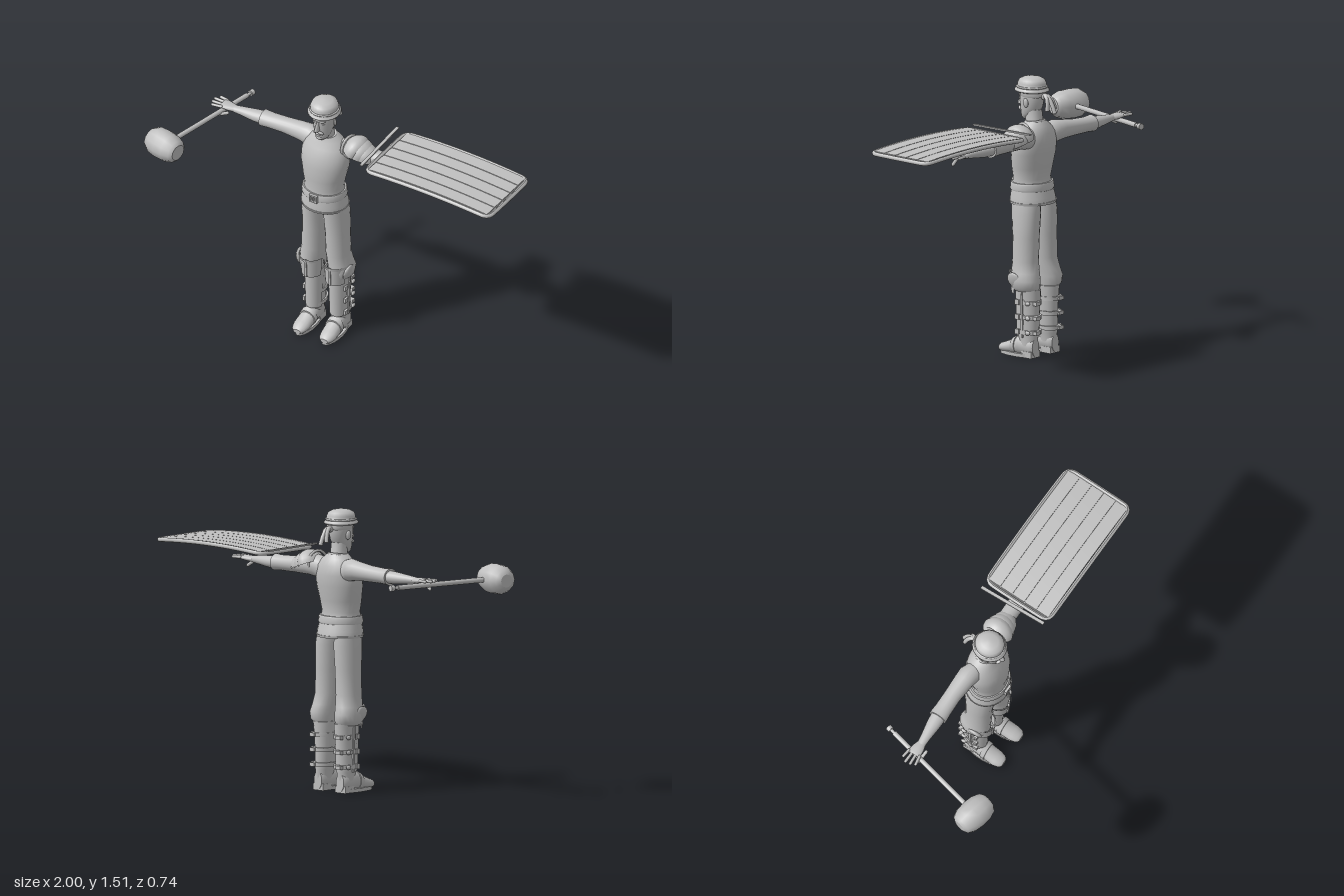
import * as THREE from 'three';

const grey = new THREE.MeshStandardMaterial({ color: 0xc0c0c0, side: THREE.DoubleSide });
grey.name = 'plain grey';

function add(parent, name, geo, pos = [0, 0, 0], rot = [0, 0, 0], scale = [1, 1, 1]) {
  const m = new THREE.Mesh(geo, grey);
  m.name = name;
  m.position.set(...pos);
  m.rotation.set(...rot);
  m.scale.set(...scale);
  parent.add(m);
  return m;
}
const box = (w, h, d, n = 1) => new THREE.BoxGeometry(w, h, d, n, 1, 1);
const ball = (w = 16, h = 10) => new THREE.SphereGeometry(1, w, h);

// Elliptical cross-sections [t, a, b, ra, rb] joined along an axis:
// y: (a,b) = (x,z)   x: (a,b) = (z,y)   z: (a,b) = (y,x)
function loft(axis, rows, seg = 20) {
  const pos = [], idx = [];
  const put = (t, a, b) => pos.push(...(axis === 'y' ? [a, t, b] : axis === 'x' ? [t, b, a] : [b, a, t]));
  const ring = ([t, a, b, ra, rb]) => {
    for (let j = 0; j < seg; j++) {
      const q = j / seg * Math.PI * 2;
      put(t, a + ra * Math.sin(q), b + rb * Math.cos(q));
    }
  };
  rows.forEach(ring);
  for (let i = 0; i < rows.length - 1; i++) for (let j = 0; j < seg; j++) {
    const a = i * seg + j, b = i * seg + (j + 1) % seg;
    idx.push(a, b, b + seg, a, b + seg, a + seg);
  }
  for (const end of [0, rows.length - 1]) {
    const s = pos.length / 3;
    ring(rows[end]);
    put(rows[end][0], rows[end][1], rows[end][2]);
    for (let j = 0; j < seg; j++) {
      const k = s + (j + 1) % seg;
      idx.push(s + seg, ...(end ? [s + j, k] : [k, s + j]));
    }
  }
  const g = new THREE.BufferGeometry();
  g.setAttribute('position', new THREE.Float32BufferAttribute(pos, 3));
  g.setIndex(idx);
  g.computeVertexNormals();
  return g;
}

// Move vertices by a rule
function shape(geo, rule) {
  const p = geo.attributes.position, v = new THREE.Vector3();
  for (let i = 0; i < p.count; i++) {
    rule(v.fromBufferAttribute(p, i));
    p.setXYZ(i, v.x, v.y, v.z);
  }
  geo.computeVertexNormals();
  return geo;
}

// Copy a limb to the other side with correct winding
function mirror(limb, name) {
  const out = new THREE.Group();
  out.name = name;
  for (const m of limb.children) {
    m.updateMatrix();
    const g = m.geometry.clone().applyMatrix4(m.matrix).scale(-1, 1, 1), ix = g.index.array;
    for (let i = 0; i < ix.length; i += 3) [ix[i], ix[i + 1]] = [ix[i + 1], ix[i]];
    add(out, m.name, g);
  }
  return out;
}

function makeLeg() {
  const g = new THREE.Group();
  g.name = 'leftLeg';
  add(g, 'trouserLeg', loft('y', [[.36, .08, -.14, .054, .073], [.38, .087, -.142, .066, .085], [.42, .09, -.142, .07, .088],
    [.46, .083, -.137, .068, .08], [.52, .075, -.13, .066, .074], [.65, .071, -.13, .066, .076], [.78, .066, -.127, .068, .086], [.87, .06, -.12, .06, .085]]));
  add(g, 'bootShaft', loft('y', [[.06, .08, -.155, .042, .05], [.11, .077, -.152, .044, .058], [.13, .076, -.15, .05, .064],
    [.22, .074, -.148, .05, .066], [.32, .074, -.148, .055, .073], [.37, .076, -.148, .058, .076]]));
  add(g, 'bootFoot', loft('z', [[-.205, .055, .08, .048, .028], [-.185, .058, .08, .054, .04], [-.11, .062, .08, .055, .045], [-.06, .048, .082, .04, .046],
    [-.01, .037, .084, .029, .046], [.02, .032, .084, .023, .038], [.035, .027, .084, .013, .022]], 16));
  add(g, 'sole', loft('y', [[0, .082, -.085, .046, .118], [.02, .082, -.085, .047, .12]]));
  add(g, 'heel', box(.075, .035, .07), [.08, .0175, -.168]);
  add(g, 'instepStrap', loft('z', [[-.09, .06, .081, .052, .05], [-.065, .053, .081, .046, .05]], 16));
  // knee guard: curved plate with rims
  const plate = (r1, r2, h) => new THREE.CylinderGeometry(r1, r2, h, 12, 1, true, -1.25, 2.5);
  add(g, 'kneeGuard', plate(.068, .062, .115), [.074, .4, -.125], [0, 0, 0], [1, 1, 1.28]);
  add(g, 'kneeGuardTop', plate(.073, .071, .016), [.074, .452, -.125], [0, 0, 0], [1, 1, 1.28]);
  add(g, 'kneeGuardRidge', box(.012, .11, .012), [.074, .4, -.042], [.06, 0, 0]);
  add(g, 'kneeWing', ball(10, 8), [.145, .42, -.11], [0, 0, -.3], [.014, .045, .045]);
  // shin plate, straps and buckles
  add(g, 'shinPlate', plate(.058, .051, .24), [.074, .235, -.146], [0, 0, 0], [1, 1, 1.27]);
  add(g, 'sideSeam', box(.01, .25, .012), [.128, .235, -.15], [0, 0, -.03]);
  for (const y of [.14, .22, .3]) {
    add(g, 'strap', loft('y', [[y - .011, .074, -.155, .057, .072], [y + .011, .074, -.155, .057, .073]], 16));
    add(g, 'buckle', box(.014, .028, .026), [.127, y, -.118]);
    add(g, 'strapKnot', box(.034, .02, .022), [.095, y, -.226]);
    add(g, 'strapStud', ball(8, 6), [.13, y, -.19], [0, 0, 0], [.009, .012, .018]);
  }
  return g;
}

function makeArm() {
  const g = new THREE.Group();
  g.name = 'leftArm';
  add(g, 'sleeve', loft('x', [[.07, -.15, 1.18, .05, .062], [.12, -.16, 1.195, .058, .06], [.17, -.165, 1.195, .053, .052], [.27, -.17, 1.19, .046, .044],
    [.36, -.17, 1.187, .047, .041], [.4, -.17, 1.186, .05, .043], [.414, -.17, 1.186, .05, .045]]));
  add(g, 'forearm', loft('x', [[.4, -.17, 1.186, .042, .035], [.46, -.168, 1.184, .038, .032], [.54, -.164, 1.184, .027, .023], [.59, -.161, 1.184, .023, .017]]));
  add(g, 'palm', loft('x', [[.575, -.161, 1.184, .022, .016], [.61, -.162, 1.186, .033, .016], [.645, -.163, 1.189, .038, .013], [.66, -.164, 1.19, .034, .009]], 14));
  [[-.195, .045], [-.174, .065], [-.152, .062], [-.131, .05]].forEach(([z, len], i) =>
    add(g, 'finger', new THREE.CapsuleGeometry(.0085, len, 3, 8), [.65 + len / 2, 1.191, z + (i - 1.5) * .003], [0, -(i - 1.5) * .1, -Math.PI / 2]));
  add(g, 'thumb', new THREE.CapsuleGeometry(.0095, .065, 3, 8), [.632, 1.158, -.122], [.25, 0, 1.0]);
  return g;
}

function makeHead() {
  const g = new THREE.Group();
  g.name = 'head';
  add(g, 'neck', loft('y', [[1.22, 0, -.135, .062, .055], [1.26, 0, -.128, .045, .048], [1.33, 0, -.12, .043, .047]]));
  add(g, 'skull', loft('y', [[1.272, 0, -.077, .02, .022], [1.282, 0, -.084, .034, .035], [1.305, 0, -.097, .046, .051], [1.34, 0, -.107, .054, .064],
    [1.38, 0, -.11, .058, .071], [1.42, 0, -.112, .06, .073], [1.46, 0, -.112, .05, .062]]));
  add(g, 'nose', loft('y', [[1.345, 0, -.035, .014, .021], [1.355, 0, -.034, .012, .022], [1.4, 0, -.043, .006, .01]], 8));
  add(g, 'chin', ball(10, 8), [0, 1.287, -.058], [0, 0, 0], [.022, .013, .015]);
  add(g, 'lips', ball(10, 6), [0, 1.318, -.045], [0, 0, 0], [.02, .007, .009]);
  for (const s of [-1, 1]) {
    add(g, 'moustache', ball(10, 6), [s * .016, 1.33, -.042], [0, s * .4, -s * .45], [.02, .008, .01]);
    add(g, 'eye', ball(10, 8), [s * .024, 1.386, -.053], [0, 0, 0], [.012, .007, .01]);
    add(g, 'brow', ball(10, 6), [s * .025, 1.402, -.049], [0, s * .4, s * .15], [.02, .006, .009]);
    add(g, 'ear', ball(10, 8), [s * .06, 1.37, -.118], [.15, s * .4, 0], [.008, .025, .015]);
  }
  // cap with flared brim and a headband tied at the back
  const profile = [[.08, 1.425], [.091, 1.43], [.09, 1.438], [.076, 1.45], [.076, 1.47], [.068, 1.488], [.045, 1.5], [.012, 1.506], [0, 1.506]];
  add(g, 'cap', new THREE.LatheGeometry(profile.map(p => new THREE.Vector2(...p)), 24), [0, 0, -.11], [0, 0, 0], [.98, 1, 1.05]);
  add(g, 'capTie', new THREE.TorusGeometry(.078, .006, 6, 24), [0, 1.452, -.11], [Math.PI / 2, 0, 0], [.98, 1.04, 1]);
  add(g, 'headband', loft('y', [[1.4, 0, -.12, .062, .074], [1.412, 0, -.12, .067, .078], [1.435, 0, -.115, .068, .079]]));
  add(g, 'knot', ball(10, 8), [0, 1.405, -.197], [0, 0, 0], [.02, .018, .016]);
  for (const [x, y, z] of [[-.025, 1.34, -.25], [0, 1.325, -.27], [.022, 1.335, -.235]]) {
    const path = new THREE.QuadraticBezierCurve3(new THREE.Vector3(0, 1.408, -.19), new THREE.Vector3(x * .5, 1.425, -.235), new THREE.Vector3(x, y, z));
    add(g, 'hangingTail', new THREE.TubeGeometry(path, 8, .012, 7));
  }
  return g;
}

function makeTorso() {
  const g = new THREE.Group();
  g.name = 'torso';
  add(g, 'tunic', loft('y', [[.83, 0, -.118, .131, .117], [.86, 0, -.116, .129, .114], [.92, 0, -.111, .116, .1], [.96, 0, -.11, .11, .091], [1.02, 0, -.112, .121, .1],
    [1.1, 0, -.12, .138, .105], [1.16, 0, -.128, .138, .102], [1.21, 0, -.137, .122, .085], [1.245, 0, -.138, .088, .067], [1.27, 0, -.134, .055, .054]], 28));
  add(g, 'collar', new THREE.TorusGeometry(.05, .008, 6, 20), [0, 1.263, -.132], [Math.PI / 2 + .15, 0, 0]);
  add(g, 'belt', loft('y', [[.898, 0, -.112, .124, .108], [.905, 0, -.112, .127, .111], [.932, 0, -.112, .125, .108], [.94, 0, -.112, .121, .104]], 28));
  add(g, 'hem', loft('y', [[.825, 0, -.118, .131, .117], [.838, 0, -.118, .134, .12]], 28));
  for (const s of [-1, 1]) {
    add(g, 'buckleBar', box(.044, .009, .014), [0, .919 + s * .018, .004]);
    add(g, 'buckleSide', box(.009, .045, .014), [s * .02, .919, .004]);
  }
  add(g, 'bucklePin', box(.006, .03, .012), [0, .919, .005]);
  return g;
}

// Layered shoulder armour, pointed toward the arm
function makePauldron() {
  const g = new THREE.Group();
  g.name = 'pauldron';
  const shell = () => shape(new THREE.SphereGeometry(1, 20, 8, 0, Math.PI * 2, 0, Math.PI / 2), v => { v.z *= 1 - .75 * Math.max(0, v.x) ** 2; });
  [[.03, 1.2, .07, .08, .088], [.058, 1.192, .083, .073, .08], [.085, 1.185, .09, .065, .07]].forEach(([x, y, a, b, c]) =>
    add(g, 'shoulderPlate', shell(), [x, y, -.165], [0, 0, -.38], [a, b, c]));
  add(g, 'shoulderRim', new THREE.TorusGeometry(.06, .008, 6, 20), [-.012, 1.215, -.158], [0, Math.PI / 2 - .2, 0], [1, 1, 1]);
  return g;
}

function makeClub() {
  const g = new THREE.Group();
  g.name = 'club';
  add(g, 'clubHead', loft('x', [[-.108, 0, 0, .035, .035], [-.095, 0, 0, .06, .058], [-.06, 0, 0, .077, .077], [-.01, 0, 0, .083, .082], [.04, 0, 0, .08, .078],
    [.085, 0, 0, .064, .062], [.1, 0, 0, .045, .045]], 12));
  add(g, 'clubHandle', new THREE.CylinderGeometry(.014, .014, .56, 12), [0, 0, -.34], [Math.PI / 2, 0, 0]);
  add(g, 'handleNeck', new THREE.CylinderGeometry(.009, .009, .04, 10), [0, 0, -.632], [Math.PI / 2, 0, 0]);
  add(g, 'handleKnob', new THREE.CylinderGeometry(.017, .017, .022, 12), [0, 0, -.655], [Math.PI / 2, 0, 0]);
  g.position.set(-.888, 1.163, .283);
  g.rotation.y = -.24;
  return g;
}

// Slightly arched plank shield lying flat
function makeShield() {
  const g = new THREE.Group();
  g.name = 'shield';
  const bend = v => { v.y -= .017 * (v.x / .39) ** 2; };
  const L = .387, W = .2, R = .04;
  add(g, 'backing', shape(box(2 * L - .022, .008, 2 * W - .022, 16), bend));
  for (let i = -2; i <= 2; i++) add(g, 'plank', shape(box(2 * L - .03, .008, .073, 16), bend), [0, .006, i * .077]);
  const pts = [];
  [[1, 1], [-1, 1], [-1, -1], [1, -1]].forEach(([sx, sz], k) => {
    for (let i = 0; i <= 6; i++) {
      const q = (k + i / 6) * Math.PI / 2;
      pts.push(new THREE.Vector3(sx * (L - R) + R * Math.cos(q), 0, sz * (W - R) + R * Math.sin(q)));
    }
  });
  const rim = new THREE.CatmullRomCurve3(pts, true, 'centripetal');
  add(g, 'rim', shape(new THREE.TubeGeometry(rim, 120, .0115, 8, true), bend));
  add(g, 'grip', box(.1, .01, .03), [-.005, -.041, 0]);
  for (const s of [-1, 1]) add(g, 'gripPost', box(.01, .04, .02), [-.005 + s * .04, -.022, 0]);
  g.position.set(.595, 1.271, -.153);
  g.rotation.y = -.025;
  return g;
}

export function createModel() {
  const model = new THREE.Group();
  model.name = 'figureWithClubAndShield';
  const body = new THREE.Group();
  body.name = 'body';
  body.position.x = -.136;
  const leg = makeLeg(), arm = makeArm();
  body.add(makeTorso(), makeHead(), leg, mirror(leg, 'rightLeg'), arm, mirror(arm, 'rightArm'));
  model.add(body, makePauldron(), makeClub(), makeShield());
  // thin rod beside the shield
  add(model, 'thinRod', box(.018, .008, .39), [.17, 1.274, -.165], [0, .02, 0]);
  return model;
}
